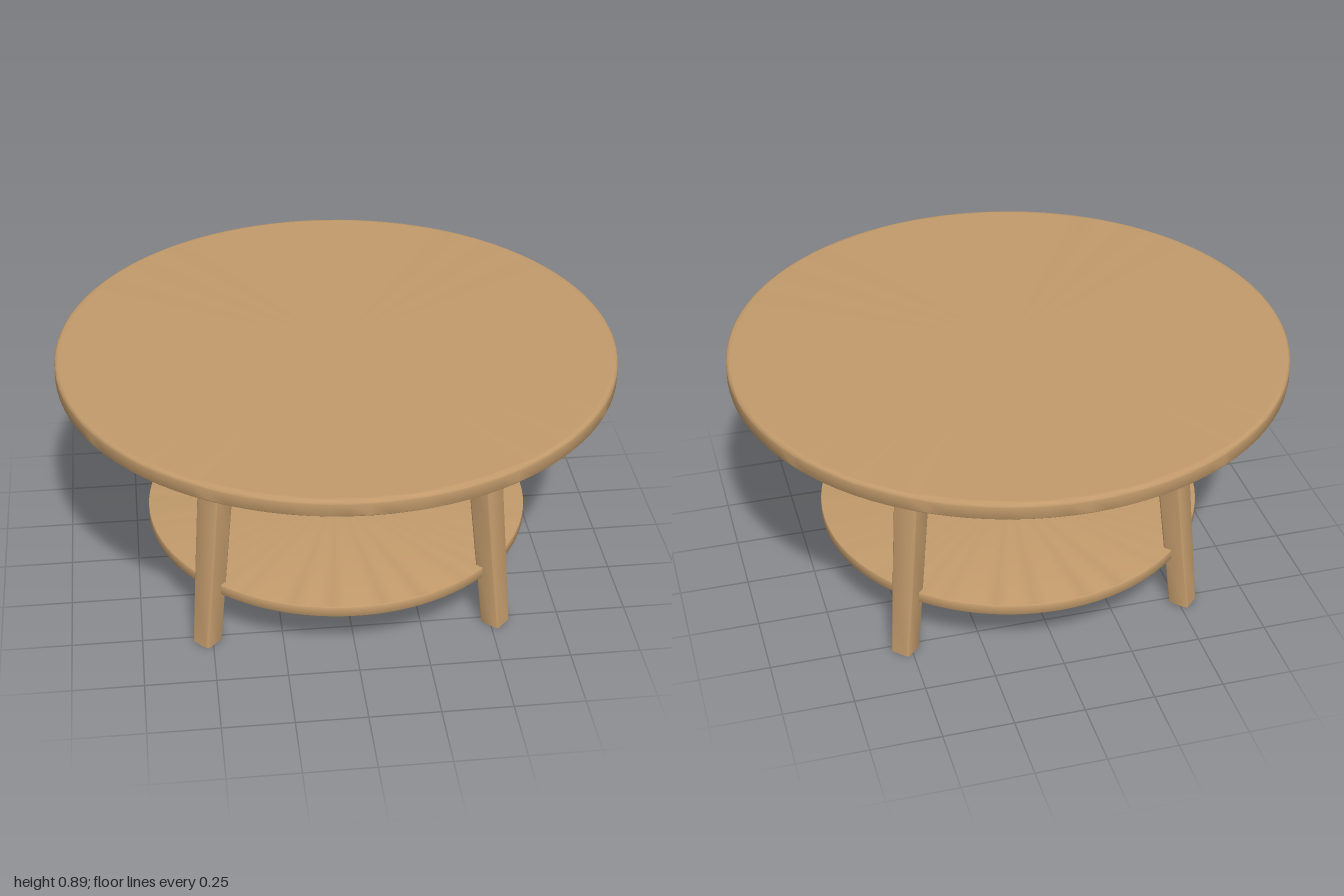
import * as THREE from 'three';
import { toCreasedNormals } from 'three/addons/utils/BufferGeometryUtils.js';

const wood = new THREE.MeshStandardMaterial({ color: 0xc19a6b });
wood.name = 'wood';

function part(name, geometry) {
  const mesh = new THREE.Mesh(toCreasedNormals(geometry, 0.6), wood);
  mesh.name = name;
  return mesh;
}

// Round board from y0 to y1 with softened lower and upper rims
function board(radius, y0, y1, lower, upper) {
  const pts = [new THREE.Vector2(0, y0), new THREE.Vector2(radius - lower * 1.5, y0)];
  const steps = 4;
  for (let i = 0; i <= steps; i++) {
    const a = (i / steps) * Math.PI / 2;
    pts.push(new THREE.Vector2(radius - lower + lower * Math.sin(a), y0 + lower - lower * Math.cos(a)));
  }
  for (let i = 0; i <= steps; i++) {
    const a = (i / steps) * Math.PI / 2;
    pts.push(new THREE.Vector2(radius - upper + upper * Math.cos(a), y1 - upper + upper * Math.sin(a)));
  }
  pts.push(new THREE.Vector2(radius - upper * 1.5, y1), new THREE.Vector2(0, y1));
  return new THREE.LatheGeometry(pts, 96);
}

// Tapered, splayed leg with a rounded square section; local +x points outward
function legGeometry() {
  const height = 0.835, h = 0.5, r = 0.13;
  const s = new THREE.Shape();
  s.moveTo(-h + r, -h);
  s.lineTo(h - r, -h);
  s.absarc(h - r, -h + r, r, -Math.PI / 2, 0);
  s.lineTo(h, h - r);
  s.absarc(h - r, h - r, r, 0, Math.PI / 2);
  s.lineTo(-h + r, h);
  s.absarc(-h + r, h - r, r, Math.PI / 2, Math.PI);
  s.lineTo(-h, -h + r);
  s.absarc(-h + r, -h + r, r, Math.PI, Math.PI * 1.5);
  const g = new THREE.ExtrudeGeometry(s, { depth: height, bevelEnabled: false, curveSegments: 5, steps: 4 });
  g.rotateX(-Math.PI / 2);
  const p = g.attributes.position;
  for (let i = 0; i < p.count; i++) {
    const t = p.getY(i) / height;
    const width = THREE.MathUtils.lerp(0.077, 0.098, t);
    const reach = THREE.MathUtils.lerp(0.735, 0.636, t);
    p.setX(i, p.getX(i) * width + reach);
    p.setZ(i, p.getZ(i) * width);
  }
  return g;
}

export function createModel() {
  const table = new THREE.Group();
  table.name = 'roundTable';
  table.add(part('tableTop', board(1, 0.83, 0.89, 0.005, 0.015)));
  table.add(part('lowerShelf', board(0.7, 0.2, 0.24, 0.003, 0.003)));

  // Four legs on the diagonals
  const names = ['backLeftLeg', 'backRightLeg', 'frontRightLeg', 'frontLeftLeg'];
  names.forEach((name, i) => {
    const leg = part(name, legGeometry());
    leg.rotation.y = Math.PI / 4 + i * Math.PI / 2;
    table.add(leg);
  });
  return table;
}
